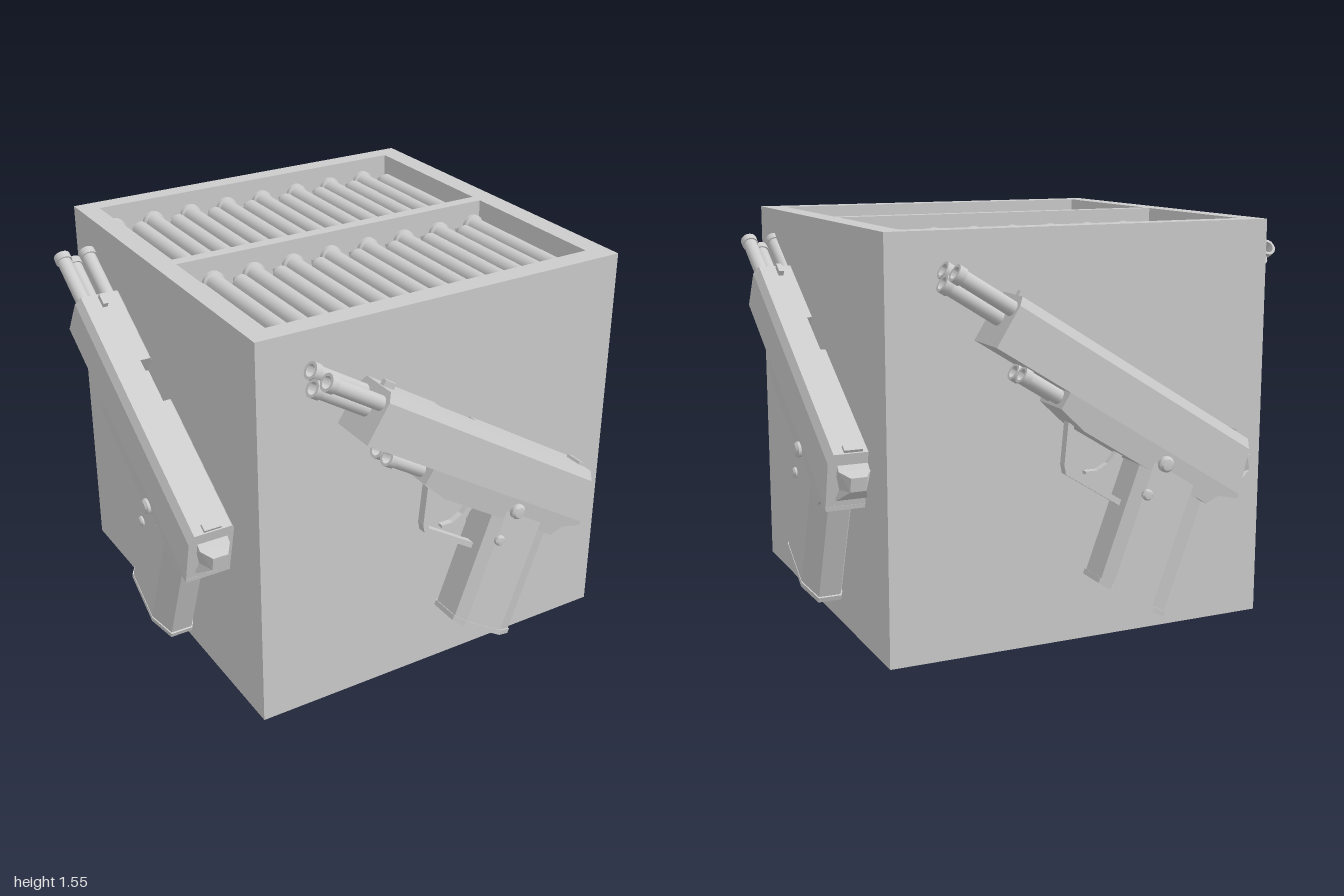
import * as THREE from 'three';
import { toCreasedNormals } from 'three/addons/utils/BufferGeometryUtils.js';

const material = new THREE.MeshStandardMaterial({ color: 0xcccccc, side: THREE.DoubleSide });

function add(parent, name, geometry, x = 0, y = 0, z = 0) {
  const mesh = new THREE.Mesh(geometry, material);
  mesh.name = name;
  mesh.position.set(x, y, z);
  parent.add(mesh);
  return mesh;
}

const shapeOf = (pts) => new THREE.Shape(pts.map(([x, y]) => new THREE.Vector2(x, y)));
const extrude = (pts, depth) =>
  new THREE.ExtrudeGeometry(shapeOf(pts), { depth, bevelEnabled: false });

// side profile extruded symmetrically across the width
const plate = (pts, width) => extrude(pts, width).translate(0, 0, -width / 2);

const turned = (pts, sides) =>
  toCreasedNormals(new THREE.LatheGeometry(pts.map(([x, y]) => new THREE.Vector2(x, y)), sides), 0.6);

// move vertices by a rule, then refresh the normals
function warp(geometry, rule) {
  const p = geometry.attributes.position;
  const v = new THREE.Vector3();
  for (let i = 0; i < p.count; i++) {
    rule(v.fromBufferAttribute(p, i));
    p.setXYZ(i, v.x, v.y, v.z);
  }
  geometry.computeVertexNormals();
  return geometry;
}

// hollow barrel with a muzzle ring, pointing along -x
const barrelGeometry = (r, length) => turned([
  [r, 0], [r, length - 0.03], [r * 1.18, length - 0.03], [r * 1.18, length],
  [r * 0.8, length], [r * 0.8, length - 0.1], [0, length - 0.1],
], 16).rotateZ(Math.PI / 2);

// cross-section (across, up) extruded along x
const alongX = (pts, from, to) =>
  extrude(pts, to - from).rotateY(Math.PI / 2).translate(from, 0, 0);

function createPistol() {
  const g = new THREE.Group();
  g.name = 'pistol';

  // slide, with an ejection port cut into its right top edge
  const left = [[0.07, 0.953], [-0.075, 0.953], [-0.095, 0.92], [-0.095, 0.757]];
  const full = [...left, [0.095, 0.757], [0.095, 0.92], [0.075, 0.953]];
  const cut = [[0.035, 0.953], ...left.slice(1), [0.095, 0.757], [0.095, 0.86], [0.05, 0.88]];
  add(g, 'slideFront', alongX(full, -0.994, -0.66));
  add(g, 'slidePort', alongX(cut, -0.66, -0.465));
  add(g, 'slideRear', warp(alongX(full, -0.465, 0.099), (v) => {
    if (v.x > 0) v.x += (0.956 - v.y) * 0.34;
  }));

  // frame, narrowing downwards
  add(g, 'frame', warp(plate([
    [-0.665, 0.757], [-0.66, 0.692], [-0.538, 0.666], [0.065, 0.666],
    [0.092, 0.712], [0.173, 0.741], [0.167, 0.757],
  ], 0.19), (v) => { v.z *= 1 - (0.757 - v.y) * 1.3; }));

  // grip with chamfered corners, leaning backwards
  const outline = (l, w) => [
    [-l, -w + 0.03], [-l + 0.04, -w], [l - 0.09, -w], [l, -w + 0.045],
    [l, w - 0.045], [l - 0.09, w], [-l + 0.04, w], [-l, w - 0.03],
  ];
  const grip = (l, w, from, to) => warp(
    extrude(outline(l, w), to - from).rotateX(-Math.PI / 2).translate(-0.092, from, 0),
    (v) => { v.x += (0.667 - v.y) * 0.207; });
  add(g, 'grip', grip(0.162, 0.088, 0.24, 0.7));
  add(g, 'gripBase', grip(0.168, 0.09, 0.222, 0.242));

  // trigger guard and trigger
  add(g, 'triggerGuard', plate([
    [-0.572, 0.67], [-0.502, 0.53], [-0.478, 0.505], [-0.2, 0.503],
    [-0.2, 0.525], [-0.468, 0.527], [-0.482, 0.54], [-0.546, 0.67],
  ], 0.034));
  add(g, 'trigger', plate([
    [-0.335, 0.67], [-0.345, 0.615], [-0.37, 0.575], [-0.41, 0.55],
    [-0.404, 0.54], [-0.355, 0.56], [-0.325, 0.61], [-0.305, 0.67],
  ], 0.024));

  // three upper barrels and two lower ones
  const upper = barrelGeometry(0.028, 0.28);
  for (const [y, z] of [[0.902, -0.052], [0.902, 0.052], [0.857, 0]])
    add(g, 'upperBarrel', upper, -0.962, y, z);
  const lower = barrelGeometry(0.027, 0.19);
  for (const z of [-0.033, 0.033]) add(g, 'lowerBarrel', lower, -0.645, 0.728, z);

  // sights
  add(g, 'frontSight', new THREE.BoxGeometry(0.05, 0.035, 0.02), -0.955, 0.958, 0);
  add(g, 'rearSight', new THREE.BoxGeometry(0.03, 0.02, 0.07), 0.08, 0.955, 0);

  // hammer, tapering to the tip
  add(g, 'hammer', warp(plate([
    [0.09, 0.918], [0.14, 0.905], [0.186, 0.915], [0.205, 0.864], [0.166, 0.785], [0.1, 0.785],
  ], 0.12), (v) => { if (v.x > 0.17) v.z *= 0.5; }));

  // domed pins on both sides
  const pin = (r, h) => turned([[r, 0], [r, h - r * 0.4], [r * 0.7, h - r * 0.1], [0, h]], 16)
    .rotateX(Math.PI / 2);
  for (const side of [0, Math.PI]) {
    add(g, 'largePin', pin(0.03, 0.115), -0.18, 0.714, 0).rotation.y = side;
    add(g, 'smallPin', pin(0.021, 0.103), -0.184, 0.585, 0).rotation.y = side;
  }
  return g;
}

function createCrate() {
  const g = new THREE.Group();
  g.name = 'crate';
  const floor = 1.41;
  add(g, 'crateBody', new THREE.BoxGeometry(1.54, floor, 1.54), 0.01, floor / 2, 0.01);

  // rim with two tray openings (shape y is -z)
  const rect = (x0, x1, z0, z1) => [[x0, -z1], [x1, -z1], [x1, -z0], [x0, -z0]];
  const rim = shapeOf(rect(-0.76, 0.78, -0.76, 0.78));
  const trays = [[-0.685, -0.02], [0.03, 0.695]];
  for (const [z0, z1] of trays) rim.holes.push(shapeOf(rect(-0.68, 0.695, z0, z1)));
  add(g, 'crateRim', new THREE.ExtrudeGeometry(rim, { depth: 0.14, bevelEnabled: false })
    .rotateX(-Math.PI / 2), 0, floor, 0);

  // rows of cartridges lying alternately head to tail
  const cartridge = turned([
    [0, 0], [0.046, 0], [0.046, 0.014], [0.036, 0.02], [0.036, 0.57], [0.03, 0.575], [0, 0.635],
  ], 16).translate(0, -0.3175, 0);
  trays.forEach(([z0, z1], row) => {
    for (let i = 0; i < 16; i++) {
      const c = add(g, 'cartridge', cartridge, -0.627 + i * 0.085, floor + 0.046, (z0 + z1) / 2);
      c.rotation.x = ((i + row) % 2 ? -1 : 1) * Math.PI / 2;
    }
  });
  return g;
}

export function createModel() {
  const model = new THREE.Group();
  model.name = 'weaponCrate';
  model.add(createCrate());

  // one pistol per side: front, left, back, right
  [0.865, 0.825, 0.895, 0.855].forEach((distance, i) => {
    const mount = new THREE.Group();
    mount.name = 'pistolMount';
    mount.position.set(0.01, 0, 0.01);
    mount.rotation.y = i * Math.PI / 2;
    const pistol = createPistol();
    pistol.position.set(-0.01, 0, distance);
    pistol.rotation.z = -0.558;
    mount.add(pistol);
    model.add(mount);
  });
  return model;
}
